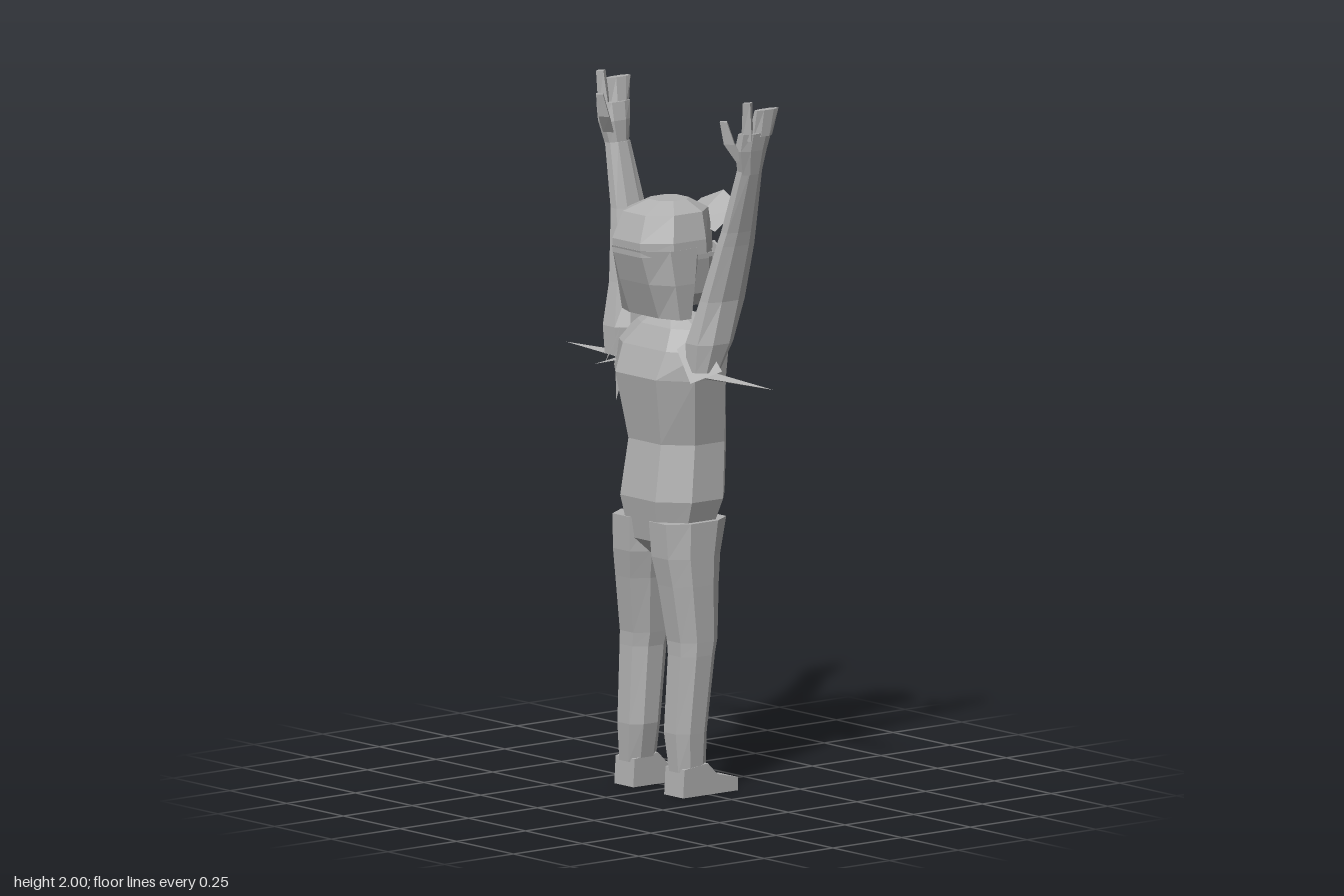
import * as THREE from 'three';

const grey = new THREE.MeshStandardMaterial({ color: 0xb0b0b0, side: THREE.DoubleSide, flatShading: true });
grey.name = 'plain grey';

function surface(name, positions) {
  const g = new THREE.BufferGeometry();
  g.setAttribute('position', new THREE.Float32BufferAttribute(positions, 3));
  g.computeVertexNormals();
  const m = new THREE.Mesh(g, grey);
  m.name = name;
  return m;
}

// Chamfered outline shared by all body sections
const OCTAGON = [[1, 0.45], [0.5, 1], [-0.5, 1], [-1, 0.45], [-1, -0.45], [-0.5, -1], [0.5, -1], [1, -0.45]];
const DIAMOND = [[1, 0], [0, 1], [-1, 0], [0, -1]];

// Rings from bottom to top: [y, xMin, xMax, zMin, zMax]; s mirrors in x
function loft(name, rings, outline = OCTAGON, s = 1) {
  const n = outline.length, pos = [];
  const pts = rings.map(([y, x0, x1, z0, z1]) => outline.map(([u, v]) =>
    [s * (x0 + x1) / 2 + u * (x1 - x0) / 2, y, (z0 + z1) / 2 + v * (z1 - z0) / 2]));
  const mid = ([y, x0, x1, z0, z1]) => [s * (x0 + x1) / 2, y, (z0 + z1) / 2];
  const last = rings.length - 1;
  for (let j = 0; j < n; j++) {
    const k = (j + 1) % n;
    for (let i = 0; i < last; i++) {
      const a = pts[i][j], b = pts[i][k], c = pts[i + 1][k], d = pts[i + 1][j];
      pos.push(...a, ...d, ...b, ...d, ...c, ...b);
    }
    pos.push(...mid(rings[0]), ...pts[0][j], ...pts[0][k]);
    pos.push(...mid(rings[last]), ...pts[last][k], ...pts[last][j]);
  }
  return surface(name, pos);
}

// Thin polygon panel, as a fan around its first corner
function panel(name, corners) {
  const pos = [];
  for (let i = 1; i < corners.length - 1; i++) pos.push(...corners[0], ...corners[i], ...corners[i + 1]);
  return surface(name, pos);
}

function addLeg(group, s) {
  group.add(loft('trouserLeg', [
    [0.07, 0.07, 0.15, -0.005, 0.095],
    [0.18, 0.05, 0.155, -0.01, 0.103],
    [0.4, 0.05, 0.163, -0.035, 0.09],
    [0.44, 0.045, 0.163, -0.045, 0.09],
    [0.6, 0.028, 0.16, -0.055, 0.112],
    [0.68, 0.012, 0.158, -0.065, 0.125],
    [0.78, 0.005, 0.155, -0.09, 0.13],
  ], OCTAGON, s));
  // Shoe side profile, extruded across the foot
  const shape = new THREE.Shape([[-0.095, 0], [0.105, 0], [0.105, 0.038], [0.03, 0.055], [-0.005, 0.09], [-0.09, 0.08]]
    .map(([a, b]) => new THREE.Vector2(a, b)));
  const g = new THREE.ExtrudeGeometry(shape, { depth: 0.084, bevelEnabled: false });
  g.rotateY(Math.PI / 2).translate(s * 0.11 - 0.042, 0, 0);
  const shoe = new THREE.Mesh(g, grey);
  shoe.name = 'shoe';
  group.add(shoe);
}

function addArm(group, s) {
  group.add(loft('arm', [
    [1.22, 0.14, 0.22, 0.0, 0.09],
    [1.3, 0.13, 0.235, -0.04, 0.09],
    [1.42, 0.165, 0.235, -0.075, 0.06],
    [1.58, 0.205, 0.262, -0.085, 0.03],
    [1.62, 0.217, 0.27, -0.083, 0.022],
    [1.8, 0.268, 0.314, -0.068, 0.005],
  ], OCTAGON, s));
  group.add(loft('palm', [
    [1.79, 0.27, 0.314, -0.065, 0.003],
    [1.86, 0.275, 0.328, -0.075, 0.02],
    [1.91, 0.29, 0.336, -0.085, 0.018],
  ], OCTAGON, s));
  group.add(loft('fingers', [
    [1.9, 0.295, 0.336, -0.085, -0.018],
    [1.975, 0.315, 0.338, -0.103, -0.025],
  ], OCTAGON, s));
  group.add(loft('indexFinger', [
    [1.89, 0.295, 0.335, -0.025, 0.018],
    [2.0, 0.312, 0.335, -0.015, 0.02],
  ], DIAMOND, s));
  group.add(loft('thumb', [
    [1.83, 0.27, 0.315, -0.02, 0.02],
    [1.88, 0.253, 0.3, 0.01, 0.05],
    [1.945, 0.258, 0.288, 0.035, 0.062],
  ], DIAMOND, s));
}

function addShoulder(group, s) {
  // Long sideways spike
  const g = new THREE.ConeGeometry(1, 0.31, 4);
  g.scale(0.013, 1, 0.04).rotateZ(-s * Math.PI / 2).translate(s * 0.315, 1.205, s > 0 ? 0.03 : 0.01);
  const spike = new THREE.Mesh(g, grey);
  spike.name = 'shoulderSpike';
  group.add(spike);
  // Torn cloth under the armpit
  group.add(panel('sleeveFlap', [[s * 0.17, 1.33, 0.05], [s * 0.245, 1.225, 0.03], [s * 0.19, 1.19, 0.1], [s * 0.13, 1.28, 0.1]]));
  // Open lapel and collar wing
  group.add(panel('lapel', [[s * 0.055, 1.35, -0.05], [s * 0.11, 1.28, -0.096], [s * 0.085, 1.18, -0.112], [s * 0.012, 1.0, -0.134], [s * 0.03, 1.2, -0.113]]));
  group.add(panel('collar', [[s * 0.06, 1.38, 0.03], [s * 0.1, 1.33, -0.03], [s * 0.05, 1.28, -0.1], [s * 0.025, 1.34, -0.055]]));
}

export function createModel() {
  const model = new THREE.Group();
  model.name = 'figure';

  // Jacket from crotch to neck
  model.add(loft('torso', [
    [0.66, -0.05, 0.05, -0.05, 0.06],
    [0.72, -0.12, 0.12, -0.075, 0.115],
    [0.84, -0.155, 0.155, -0.117, 0.135],
    [1.0, -0.143, 0.143, -0.128, 0.11],
    [1.19, -0.178, 0.178, -0.108, 0.143],
    [1.27, -0.185, 0.195, -0.09, 0.115],
    [1.33, -0.11, 0.15, -0.06, 0.085],
    [1.36, -0.06, 0.09, -0.035, 0.06],
  ]));
  model.add(loft('neck', [[1.3, -0.05, 0.05, -0.05, 0.05], [1.45, -0.05, 0.05, -0.04, 0.07]]));
  model.add(loft('buckle', [[0.985, -0.012, 0.012, -0.136, -0.12], [1.015, -0.012, 0.012, -0.136, -0.12]]));

  for (const s of [-1, 1]) {
    const side = new THREE.Group();
    side.name = s > 0 ? 'leftSide' : 'rightSide';
    addLeg(side, s);
    addArm(side, s);
    addShoulder(side, s);
    model.add(side);
  }
  // Loose cloth hanging on one side only
  model.add(panel('hangingFlap', [[-0.15, 1.25, 0.03], [-0.24, 1.22, 0.02], [-0.21, 1.08, 0.04], [-0.16, 1.15, 0.06]]));
  model.add(panel('clothTip', [[-0.18, 1.21, 0.05], [-0.175, 1.2, 0.15], [-0.14, 1.21, 0.09]]));

  // Head
  model.add(loft('face', [
    [1.38, -0.05, 0.05, -0.105, 0.05],
    [1.42, -0.085, 0.085, -0.105, 0.08],
    [1.52, -0.1, 0.1, -0.095, 0.1],
    [1.6, -0.1, 0.1, -0.08, 0.1],
  ]));
  model.add(loft('hair', [
    [1.36, -0.128, 0.128, 0.02, 0.112],
    [1.46, -0.13, 0.13, -0.01, 0.148],
    [1.56, -0.124, 0.124, -0.04, 0.178],
  ]));
  model.add(loft('nose', [[1.45, -0.018, 0.018, -0.122, -0.09], [1.52, -0.008, 0.008, -0.105, -0.085]], DIAMOND));
  model.add(loft('cap', [
    [1.54, -0.125, 0.125, -0.085, 0.176],
    [1.58, -0.122, 0.122, -0.085, 0.177],
    [1.655, -0.1, 0.1, -0.08, 0.148],
    [1.685, -0.05, 0.05, -0.03, 0.075],
  ]));
  // Upturned cap brim
  model.add(panel('brim', [[0, 1.61, -0.07], [0.092, 1.59, -0.07], [0.09, 1.65, -0.165], [0, 1.685, -0.178], [-0.085, 1.65, -0.165], [-0.092, 1.59, -0.07]]));
  // Glasses
  for (const s of [-1, 1]) {
    const lens = new THREE.Mesh(new THREE.CylinderGeometry(0.03, 0.03, 0.008, 6), grey);
    lens.name = 'lens';
    lens.rotation.x = Math.PI / 2;
    lens.position.set(s * 0.043, 1.525, -0.105);
    const temple = new THREE.Mesh(new THREE.BoxGeometry(0.006, 0.012, 0.12), grey);
    temple.name = 'glassesArm';
    temple.position.set(s * 0.098, 1.53, -0.05);
    model.add(lens, temple);
  }
  const bridge = new THREE.Mesh(new THREE.BoxGeometry(0.19, 0.01, 0.008), grey);
  bridge.name = 'glassesBridge';
  bridge.position.set(0, 1.54, -0.106);
  model.add(bridge);
  return model;
}
